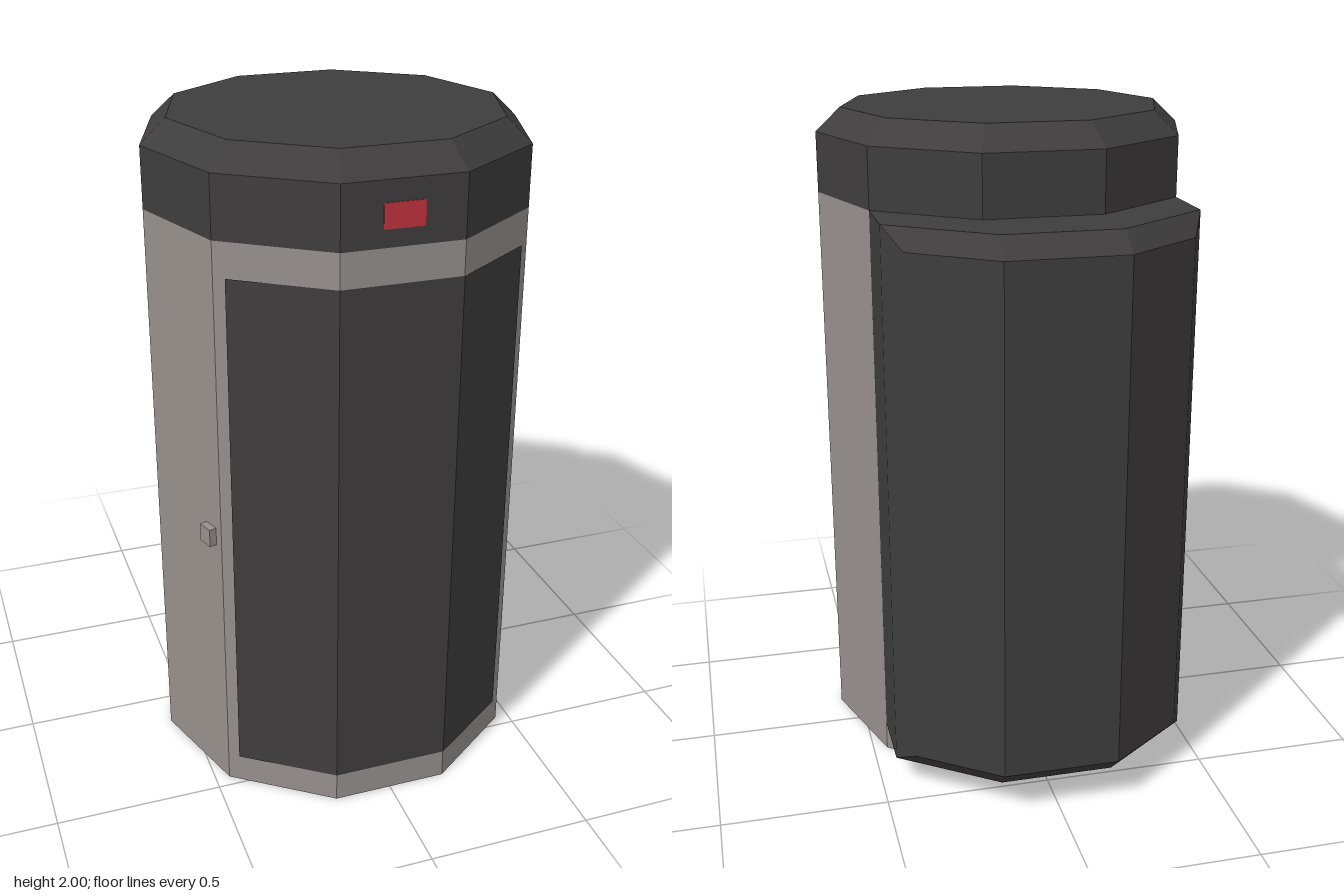
import * as THREE from 'three';
import { ConvexGeometry } from 'three/addons/geometries/ConvexGeometry.js';

const RADIUS = 0.565, SIDES = 10, CENTRE_Z = 0.13;

const paint = (color) => new THREE.MeshStandardMaterial({ color, flatShading: true });

export function createModel() {
  const model = new THREE.Group();
  const grey = paint(0x96908c), dark = paint(0x3f3d3d), red = paint(0xc0323c);
  const add = (name, geometry, material, x = 0, y = 0, z = 0) => {
    const mesh = new THREE.Mesh(geometry, material);
    mesh.name = name;
    mesh.position.set(x, y, z);
    model.add(mesh);
    return mesh;
  };

  // Ten-sided body with a flat facet facing the front
  add('body', new THREE.CylinderGeometry(RADIUS, RADIUS, 1.75, SIDES, 1, false, Math.PI / SIDES),
    grey, 0, 0.875, CENTRE_Z);

  // Lid with a bevelled rim
  const lidProfile = [[0, 1.75], [RADIUS, 1.75], [RADIUS, 1.93], [0.49, 2], [0, 2]]
    .map(([r, y]) => new THREE.Vector2(r, y));
  add('lid', new THREE.LatheGeometry(lidProfile, SIDES, Math.PI / SIDES), dark, 0, 0, CENTRE_Z);

  // Front panel wrapped over the three front facets
  const strip = [[-0.43, 0.487], [-0.175, 0.669], [0.175, 0.669], [0.43, 0.487]];
  const panel = new THREE.PlaneGeometry(1, 1.56, 3, 1);
  const pos = panel.attributes.position;
  for (let i = 0; i < pos.count; i++) {
    const [x, z] = strip[i % 4];
    pos.setXYZ(i, x, pos.getY(i), z);
  }
  panel.computeVertexNormals();
  add('frontPanel', panel, dark, 0, 0.87, 0);

  // Small light on the front of the lid
  add('indicatorLight', new THREE.BoxGeometry(0.115, 0.07, 0.006), red, 0, 1.835, 0.667);

  // Back pack, bevelled along its rear top and bottom edges
  const packPoints = [];
  for (const side of [-1, 1]) {
    for (const [x, z, inset] of [
      [0.457, -0.2, 0], [0.457, -0.405, 0], [0.17, -0.61, 0],
      [0.41, -0.5, 0.058], [0.175, -0.668, 0.058],
    ]) {
      packPoints.push(new THREE.Vector3(side * x, 0.09 + inset, z));
      packPoints.push(new THREE.Vector3(side * x, 1.75 - inset, z));
    }
  }
  add('backPack', new ConvexGeometry(packPoints), dark);

  // Tiny latch lying on the right front facet
  const latch = add('sideLatch', new THREE.BoxGeometry(0.03, 0.055, 0.05), grey, -0.48, 0.852, 0.415);
  latch.rotation.y = Math.PI / SIDES;

  return model;
}
